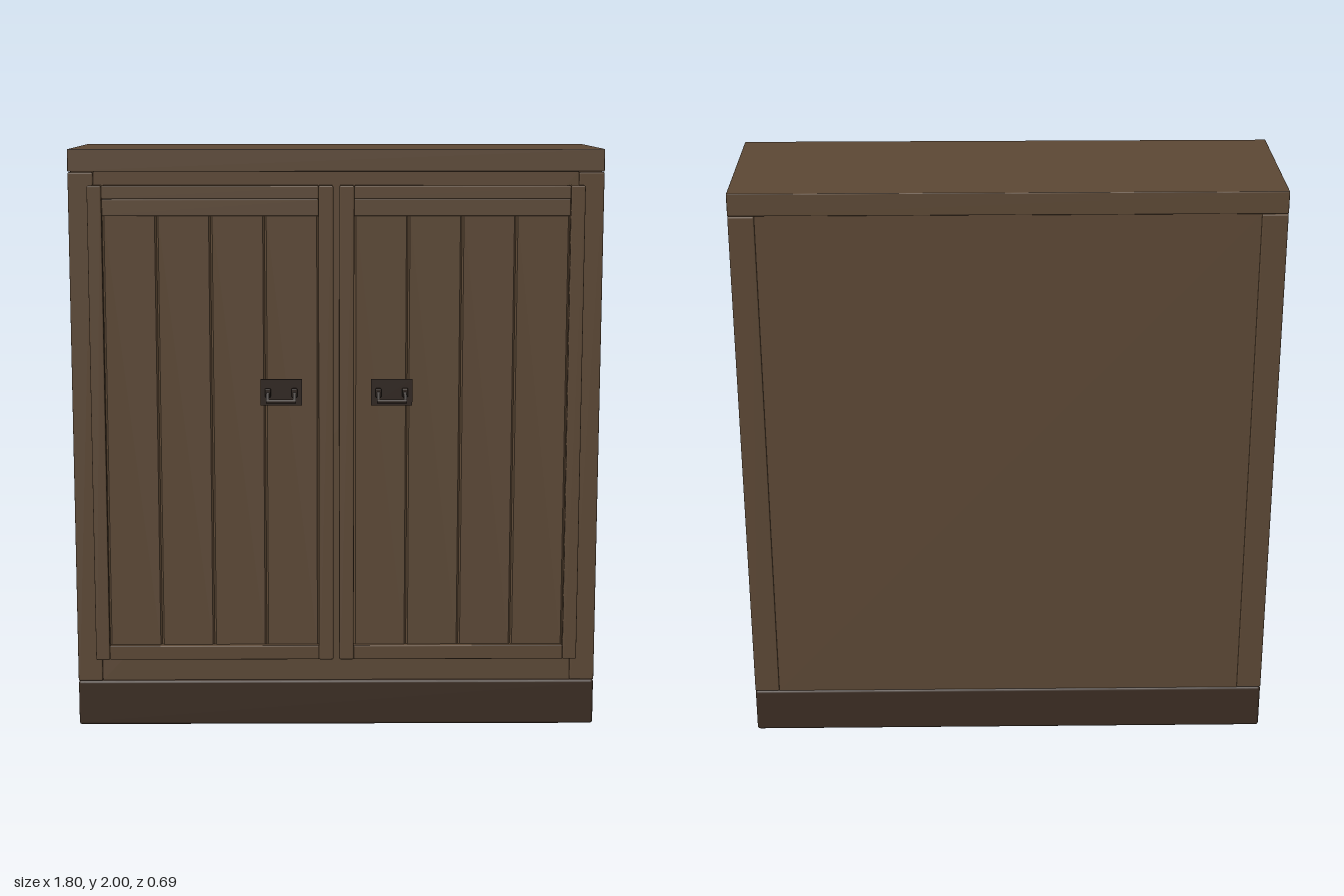
import * as THREE from 'three';
import { RoundedBoxGeometry } from 'three/addons/geometries/RoundedBoxGeometry.js';

const material = (name, color) => {
  const m = new THREE.MeshStandardMaterial({ color });
  m.name = name;
  return m;
};

export function createModel() {
  const wood = material('brown wood', 0x5c4835);
  const darkWood = material('dark wood', 0x3b2d23);
  const iron = material('dark iron', 0x2e241e);

  const model = new THREE.Group();
  model.name = 'cabinet';

  // box given by its limits on each axis, with slightly eased edges if r > 0
  function box(parent, name, mat, [x0, x1], [y0, y1], [z0, z1], r = 0) {
    const size = [x1 - x0, y1 - y0, z1 - z0];
    const geo = r ? new RoundedBoxGeometry(...size, 2, r) : new THREE.BoxGeometry(...size);
    const mesh = new THREE.Mesh(geo, mat);
    mesh.position.set((x0 + x1) / 2, (y0 + y1) / 2, (z0 + z1) / 2);
    mesh.name = name;
    parent.add(mesh);
    return mesh;
  }

  // carcass
  const depth = [-0.345, 0.255];
  box(model, 'plinth', darkWood, [-0.9, 0.9], [0, 0.16], depth, 0.01);
  box(model, 'topBoard', wood, [-0.9, 0.9], [1.925, 2], depth, 0.003);
  box(model, 'leftSide', wood, [0.815, 0.9], [0.16, 1.923], depth, 0.005);
  box(model, 'rightSide', wood, [-0.9, -0.815], [0.16, 1.923], depth, 0.005);
  box(model, 'innerBody', wood, [-0.815, 0.815], [0.158, 1.925], [-0.34, 0.245]);

  // vertical plank with chamfered long edges, extruded upwards
  function plank(parent, x0, x1, y0, y1, z0, z1) {
    const c = 0.006;
    const s = new THREE.Shape();
    s.moveTo(x0, -z0);
    s.lineTo(x0, -z1 + c);
    s.lineTo(x0 + c, -z1);
    s.lineTo(x1 - c, -z1);
    s.lineTo(x1, -z1 + c);
    s.lineTo(x1, -z0);
    const geo = new THREE.ExtrudeGeometry(s, { depth: y1 - y0, bevelEnabled: false });
    geo.rotateX(-Math.PI / 2);
    const mesh = new THREE.Mesh(geo, wood);
    mesh.position.y = y0;
    mesh.name = 'plank';
    parent.add(mesh);
  }

  // bail handle centred on x, hanging forward from two lugs
  function handle(parent, x) {
    const group = new THREE.Group();
    group.name = 'handle';
    group.position.set(x, 1.185, 0);
    parent.add(group);
    box(group, 'handlePlate', iron, [-0.07, 0.07], [-0.045, 0.045], [0.297, 0.304]);
    for (const side of [-1, 1]) {
      const lx = side * 0.045;
      box(group, 'lug', iron, [lx - 0.01, lx + 0.01], [-0.015, 0.015], [0.303, 0.322], 0.004);
      const arm = box(group, 'bailArm', iron, [lx - 0.005, lx + 0.005], [-0.005, 0.005], [0.31, 0.35]);
      arm.position.y = -0.011;
      arm.rotation.x = 0.75;
    }
    const grip = new THREE.Mesh(new THREE.CylinderGeometry(0.007, 0.007, 0.1, 10), iron);
    grip.rotation.z = Math.PI / 2;
    grip.position.set(0, -0.025, 0.343);
    grip.name = 'bailGrip';
    group.add(grip);
  }

  // doors: s = 1 is the left leaf, s = -1 the right one
  for (const s of [1, -1]) {
    const door = new THREE.Group();
    door.name = s > 0 ? 'leftDoor' : 'rightDoor';
    model.add(door);
    const span = (a, b) => (s > 0 ? [a, b] : [-b, -a]);
    const y = [0.245, 1.88];
    box(door, 'outerStile', wood, span(0.785, 0.833), y, [0.245, 0.292], 0.005);
    box(door, 'innerStile', wood, span(0.01, 0.06), y, [0.245, 0.292], 0.005);
    box(door, 'topRail', wood, span(0.06, 0.785), [1.835, 1.88], [0.245, 0.289], 0.004);
    box(door, 'lowerTopRail', wood, span(0.06, 0.785), [1.778, 1.835], [0.245, 0.28], 0.004);
    box(door, 'bottomRail', wood, span(0.06, 0.785), [0.245, 0.295], [0.245, 0.289], 0.004);
    const width = (0.785 - 0.06) / 4;
    for (let i = 0; i < 4; i++) {
      const [a, b] = span(0.06 + i * width, 0.06 + (i + 1) * width);
      plank(door, a, b, 0.295, 1.778, 0.24, 0.27);
    }
    handle(door, s * 0.187);
  }

  return model;
}
